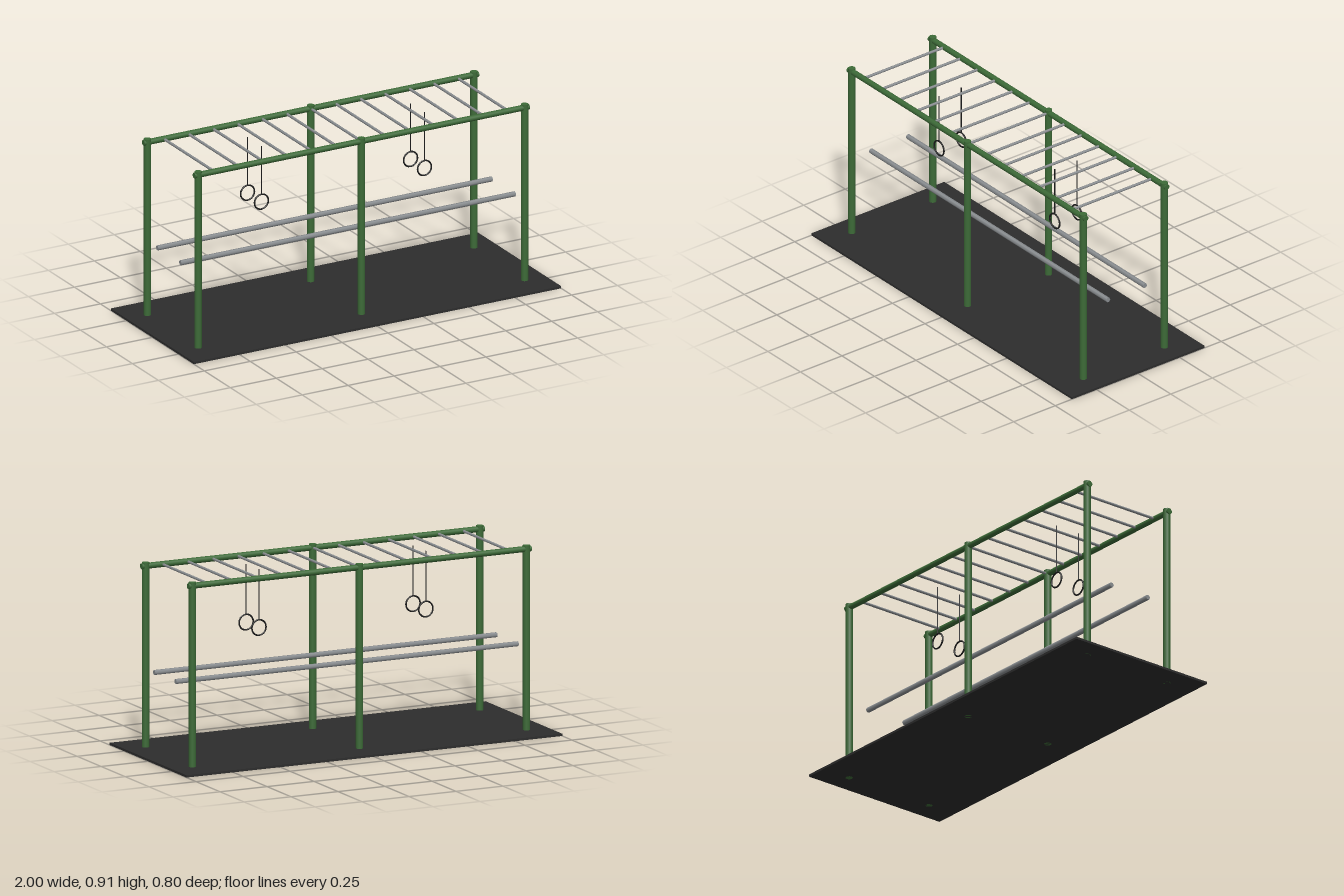
import * as THREE from 'three';

const material = (name, color) => {
  const m = new THREE.MeshStandardMaterial({ color });
  m.name = name;
  return m;
};

export function createModel() {
  const group = new THREE.Group();
  const green = material('green paint', 0x3d6b38);
  const steel = material('steel', 0x8c9093);
  const rubber = material('rubber mat', 0x2d2d2d);
  const black = material('black strap', 0x1c1c1c);

  const add = (name, geometry, mat, x, y, z) => {
    const mesh = new THREE.Mesh(geometry, mat);
    mesh.name = name;
    mesh.position.set(x, y, z);
    group.add(mesh);
    return mesh;
  };
  const rod = (radius, length, sides) => new THREE.CylinderGeometry(radius, radius, length, sides);

  const topY = 0.889, postZ = 0.244;

  // Ground mat
  add('mat', new THREE.BoxGeometry(2, 0.011, 0.8), rubber, 0, 0.0055, 0);

  // Posts, top beams and parallel bars on both sides
  const postGeo = rod(0.0178, 0.907, 12);
  const beamGeo = rod(0.0144, 1.822, 10).rotateZ(Math.PI / 2);
  const barGeo = rod(0.0125, 1.822, 6).rotateZ(Math.PI / 2);
  for (const side of [-1, 1]) {
    for (const x of [-0.889, 0, 0.889]) add('post', postGeo, green, x, 0.4535, side * postZ);
    add('topBeam', beamGeo, green, 0, topY, side * postZ);
    add('parallelBar', barGeo, steel, 0, 0.4, side * 0.111);
  }

  // Monkey bar rungs
  const rungGeo = rod(0.0067, 2 * postZ, 8).rotateX(Math.PI / 2);
  for (let i = -6; i <= 6; i++) add('rung', rungGeo, steel, i * 0.1333, topY, 0);

  // Two pairs of gymnastic rings on straps
  const strapGeo = rod(0.0027, 0.244, 6);
  const ringGeo = new THREE.TorusGeometry(0.0378, 0.004, 8, 20);
  for (const x of [-0.444, 0.444]) {
    for (const z of [-0.0667, 0.0667]) {
      add('strap', strapGeo, black, x, 0.767, z);
      add('ring', ringGeo, black, x, 0.6065, z);
    }
  }
  return group;
}
